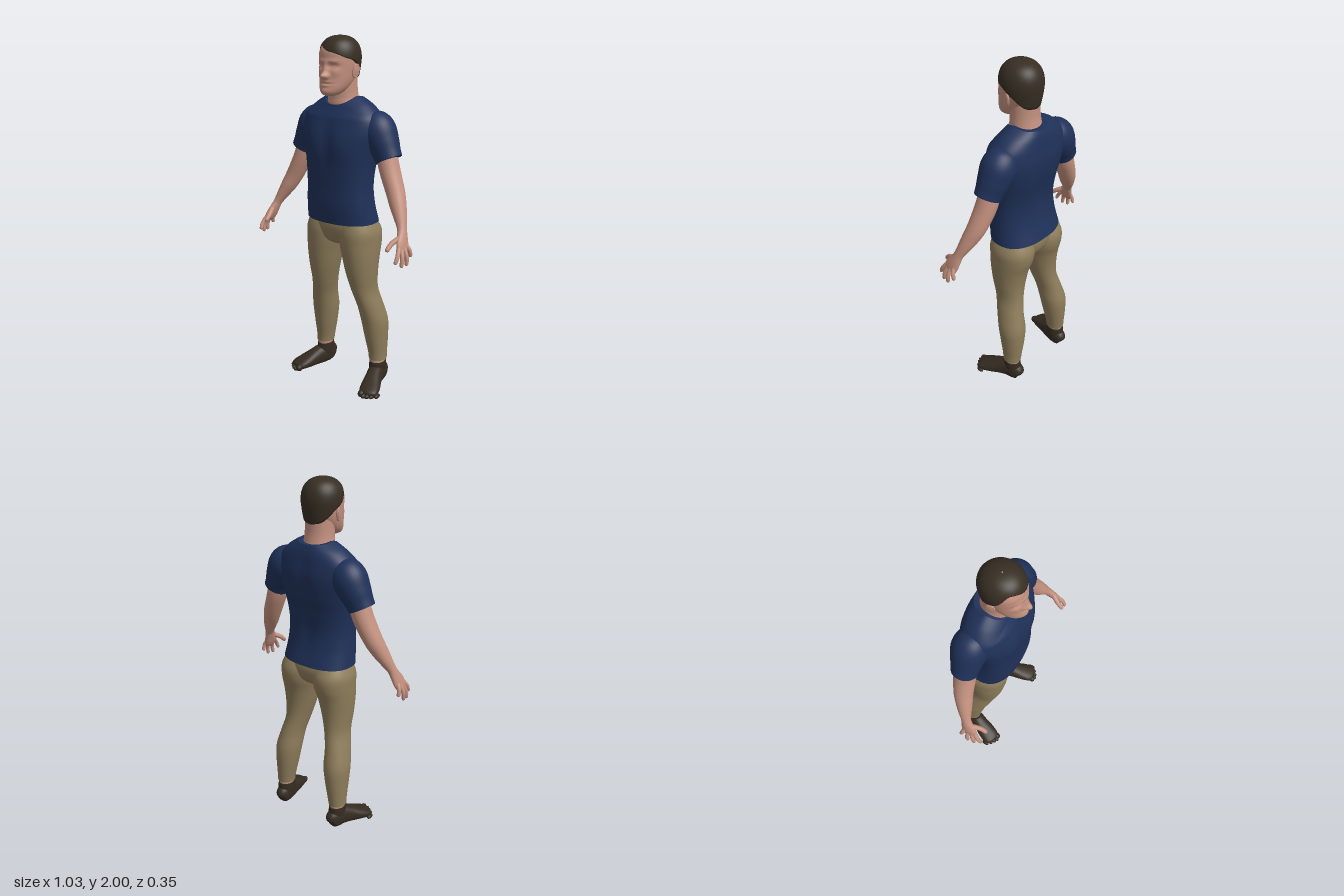
import * as THREE from 'three';

const mat = (name, color, side = THREE.FrontSide) => {
  const m = new THREE.MeshStandardMaterial({ color, side });
  m.name = name;
  return m;
};
const skin = mat('skin', 0xc4917f);
const navy = mat('navy cloth', 0x1f3159);
const khaki = mat('khaki cloth', 0x8e7d5b);
const hairBrown = mat('hair brown', 0x372e23, THREE.DoubleSide);
const sockBrown = mat('sock brown', 0x352c21);

const X = new THREE.Vector3(1, 0, 0), Y = new THREE.Vector3(0, 1, 0), Z = new THREE.Vector3(0, 0, 1);
const gauss = (d, s) => Math.exp(-(d * d) / (2 * s * s));
const clamp = THREE.MathUtils.clamp;

// Smooth interpolation through rows of numbers
function smoothRows(rows, sub) {
  const out = [];
  for (let i = 0; i < rows.length - 1; i++) {
    const [a, b, c, d] = [rows[Math.max(i - 1, 0)], rows[i], rows[i + 1], rows[Math.min(i + 2, rows.length - 1)]];
    for (let k = 0; k < sub; k++) {
      const t = k / sub;
      out.push(b.map((v, j) => v + 0.5 * t * (c[j] - a[j]
        + t * (2 * a[j] - 5 * v + 4 * c[j] - d[j] + t * (3 * (v - c[j]) + d[j] - a[j])))));
    }
  }
  out.push(rows[rows.length - 1]);
  return out;
}

// Closed loft through rings [x, y, z, radiusA, radiusB]; flat keeps the rings level
function loft(name, material, rings, { side = 1, flat = false, ref = Z, n = 2, seg = 32, sub = 5, deform } = {}) {
  const rows = smoothRows(rings, sub);
  const centres = rows.map(r => new THREE.Vector3(r[0] * side, r[1], r[2]));
  const pos = [], idx = [], last = rows.length - 1;
  const p = new THREE.Vector3();
  const bend = v => Math.sign(v) * Math.abs(v) ** (2 / n);
  rows.forEach((r, i) => {
    const t = centres[Math.min(i + 1, last)].clone().sub(centres[Math.max(i - 1, 0)]);
    if (flat) t.set(0, Math.sign(t.y), 0);
    t.normalize();
    const u = ref.clone().cross(t).normalize(), v = t.clone().cross(u);
    for (let j = 0; j < seg; j++) {
      const a = j / seg * Math.PI * 2;
      p.copy(centres[i]).addScaledVector(u, bend(Math.cos(a)) * r[3]).addScaledVector(v, bend(Math.sin(a)) * r[4]);
      if (deform) deform(p);
      pos.push(p.x, p.y, p.z);
      if (i < last) {
        const k = (j + 1) % seg, A = i * seg + j, B = i * seg + k;
        idx.push(A, B, B + seg, A, B + seg, A + seg);
      }
    }
  });
  // End caps with their own corners, so hems stay crisp
  for (const end of [0, last]) {
    const base = pos.length / 3;
    const ring = pos.slice(end * seg * 3, (end + 1) * seg * 3);
    const mid = [0, 1, 2].map(c => ring.reduce((s, v, q) => s + (q % 3 === c ? v : 0), 0) / seg);
    pos.push(...ring, ...mid);
    for (let j = 0; j < seg; j++) {
      const k = (j + 1) % seg;
      idx.push(base + seg, base + (end ? j : k), base + (end ? k : j));
    }
  }
  const g = new THREE.BufferGeometry();
  g.setAttribute('position', new THREE.Float32BufferAttribute(pos, 3));
  g.setIndex(idx);
  g.computeVertexNormals();
  const mesh = new THREE.Mesh(g, material);
  mesh.name = name;
  return mesh;
}

// Facial relief: [x, y, width, height, depth], mirrored when x is not zero
const relief = [
  [0, 1.797, 0.013, 0.012, 0.03], [0, 1.83, 0.011, 0.024, 0.016], [0.017, 1.794, 0.008, 0.008, 0.008],
  [0.04, 1.846, 0.017, 0.009, -0.013], [0.038, 1.872, 0.022, 0.008, 0.006], [0.04, 1.845, 0.009, 0.005, 0.006],
  [0, 1.767, 0.022, 0.005, 0.008], [0, 1.757, 0.024, 0.003, -0.004], [0, 1.748, 0.02, 0.005, 0.007],
  [0, 1.715, 0.025, 0.014, 0.01], [0.055, 1.815, 0.015, 0.015, 0.005],
];
function shapeFace(p) {
  if (p.z < 0.04) return;
  let dz = 0;
  for (const [x, y, w, h, d] of relief)
    for (const s of x ? [1, -1] : [1]) dz += d * gauss(p.x - s * x, w) * gauss(p.y - y, h);
  p.z += dz;
}

// Hair cap whose lower edge follows a hairline around the head
function makeHair() {
  const seg = 72, rows = 26, pos = [], idx = [];
  const line = new THREE.CatmullRomCurve3([
    [-180, 1.77], [-140, 1.785], [-105, 1.84], [-75, 1.885], [-50, 1.945], [-25, 1.945], [0, 1.925],
    [30, 1.91], [55, 1.89], [80, 1.875], [105, 1.84], [140, 1.785], [180, 1.77],
  ].map(([a, y]) => new THREE.Vector3(a, y, 0)));
  const edge = Array.from({ length: 721 }, (_, i) => line.getPoint(i / 720));
  for (let i = 0; i <= rows; i++) for (let j = 0; j < seg; j++) {
    const deg = j / seg * 360 - 180, a = deg * Math.PI / 180;
    const low = edge.reduce((b, q) => Math.abs(q.x - deg) < Math.abs(b.x - deg) ? q : b).y;
    const v = Math.min(i / (rows - 2), 1), y = low + (2 - low) * Math.cos(v * Math.PI / 2);
    let r = y > 1.88 ? (1 - ((y - 1.88) / 0.12001) ** 2.4) ** (1 / 2.4) : 1 - 2.6 * (1.88 - y) ** 1.3;
    r *= 1 - 0.1 * Math.max(0, i - rows + 2);   // tuck the edge under
    pos.push(Math.sin(a) * r * 0.111, y, 0.006 + Math.cos(a) * r * 0.119);
    if (i < rows) {
      const A = i * seg + j, B = i * seg + (j + 1) % seg;
      idx.push(A, A + seg, B + seg, A, B + seg, B);
    }
  }
  const g = new THREE.BufferGeometry();
  g.setAttribute('position', new THREE.Float32BufferAttribute(pos, 3));
  g.setIndex(idx);
  g.computeVertexNormals();
  const m = new THREE.Mesh(g, hairBrown);
  m.name = 'hair';
  return m;
}

function ball(name, material, x, y, z, sx, sy, sz) {
  const m = new THREE.Mesh(new THREE.SphereGeometry(1, 20, 14), material);
  m.name = name;
  m.position.set(x, y, z);
  m.scale.set(sx, sy, sz);
  return m;
}

export function createModel() {
  const model = new THREE.Group();
  model.name = 'standingMan';

  // Head and neck
  const head = new THREE.Group();
  head.name = 'head';
  head.add(
    loft('face', skin, [[0, 1.692, 0.088, 0.02, 0.025], [0, 1.703, 0.08, 0.048, 0.05], [0, 1.73, 0.06, 0.07, 0.076],
      [0, 1.77, 0.033, 0.086, 0.098], [0, 1.82, 0.014, 0.096, 0.113], [0, 1.87, 0.01, 0.101, 0.114],
      [0, 1.92, 0.008, 0.1, 0.111], [0, 1.96, 0.003, 0.08, 0.09], [0, 1.985, 0, 0.03, 0.035]],
    { flat: true, seg: 112, sub: 9, n: 2.15, deform: shapeFace }),
    loft('neck', skin, [[0, 1.58, -0.03, 0.09, 0.08], [0, 1.64, -0.025, 0.092, 0.086], [0, 1.68, -0.022, 0.084, 0.08],
      [0, 1.73, -0.018, 0.08, 0.077], [0, 1.81, -0.015, 0.08, 0.08]], { flat: true }),
    makeHair());

  // Shirt body with chest, spine groove and a dipped neckline
  model.add(head, loft('shirt', navy, [[0, 1, -0.02, 0.215, 0.147], [0, 1.1, 0, 0.205, 0.137], [0, 1.2, 0.006, 0.2, 0.13],
    [0, 1.3, 0.001, 0.206, 0.136], [0, 1.4, -0.01, 0.222, 0.146], [0, 1.5, -0.021, 0.243, 0.144],
    [0, 1.58, -0.027, 0.235, 0.128], [0, 1.645, -0.032, 0.175, 0.112], [0, 1.688, -0.032, 0.1, 0.098]], {
    flat: true, seg: 72, sub: 7, n: 2.35, deform: p => {
      const x = Math.abs(p.x), front = clamp(p.z * 15, 0, 1), back = clamp(-p.z * 15, 0, 1);
      p.z += front * (0.012 * gauss(x - 0.09, 0.05) * gauss(p.y - 1.45, 0.06) - 0.008 * gauss(x, 0.02) * gauss(p.y - 1.45, 0.08));
      p.z += back * 0.012 * gauss(x, 0.03) * gauss(p.y - 1.35, 0.17);
      const k = clamp((p.y - 1.58) / 0.108, 0, 1);
      p.y -= k * (0.05 * clamp((p.z + 0.03) / 0.1, 0, 1) ** 1.5 + 0.018 * clamp((-p.z - 0.03) / 0.1, 0, 1));
    },
  }));

  // Seat of the trousers
  model.add(loft('trouserSeat', khaki, [[0, 1.04, -0.02, 0.19, 0.115], [0, 0.97, -0.025, 0.21, 0.126],
    [0, 0.91, -0.025, 0.17, 0.115], [0, 0.875, -0.02, 0.08, 0.09], [0, 0.86, -0.02, 0.03, 0.05]], { flat: true, n: 2.2 }));

  for (const side of [1, -1]) {
    const word = side > 0 ? 'left' : 'right';
    const o = { side };

    // Ear
    const ear = ball(word + 'Ear', skin, side * 0.104, 1.82, 0.006, 0.01, 0.038, 0.022);
    ear.rotation.set(-0.2, side * -0.3, side * -0.12);
    const rim = new THREE.Mesh(new THREE.TorusGeometry(0.8, 0.16, 8, 24), skin);
    rim.name = word + 'EarRim';
    rim.rotation.y = Math.PI / 2;
    rim.position.x = side * 0.6;
    ear.add(rim);
    head.add(ear);

    // Sleeve and arm
    model.add(loft(word + 'Sleeve', navy, [[0.15, 1.6, -0.045, 0.02, 0.03], [0.175, 1.568, -0.045, 0.075, 0.075],
      [0.215, 1.515, -0.045, 0.098, 0.096], [0.253, 1.45, -0.042, 0.088, 0.088], [0.28, 1.4, -0.038, 0.077, 0.076],
      [0.297, 1.366, -0.036, 0.074, 0.071]], o));
    model.add(loft(word + 'Arm', skin, [[0.27, 1.42, -0.04, 0.055, 0.055], [0.292, 1.35, -0.036, 0.055, 0.06],
      [0.315, 1.29, -0.03, 0.053, 0.06], [0.358, 1.2, -0.015, 0.049, 0.054], [0.388, 1.14, 0.004, 0.044, 0.047],
      [0.415, 1.09, 0.022, 0.035, 0.039], [0.443, 1.035, 0.044, 0.024, 0.029], [0.456, 1, 0.058, 0.022, 0.035],
      [0.468, 0.965, 0.074, 0.02, 0.044], [0.478, 0.935, 0.086, 0.015, 0.042], [0.481, 0.925, 0.09, 0.007, 0.03]], o));

    // Fingers: root, middle and tip
    const fingers = {
      Thumb: [0.456, 0.995, 0.085, 0.437, 0.97, 0.128, 0.432, 0.942, 0.16],
      Index: [0.472, 0.95, 0.112, 0.484, 0.915, 0.139, 0.483, 0.882, 0.156],
      Middle: [0.477, 0.945, 0.096, 0.495, 0.9, 0.112, 0.496, 0.859, 0.12],
      Ring: [0.48, 0.945, 0.076, 0.501, 0.9, 0.08, 0.502, 0.861, 0.083],
      Little: [0.478, 0.955, 0.055, 0.495, 0.925, 0.046, 0.497, 0.895, 0.039],
    };
    for (const [finger, f] of Object.entries(fingers)) {
      const r = finger === 'Thumb' ? 0.0135 : 0.0115;
      const tip = f.slice(6).map((v, i) => v + (v - f[3 + i]) * 0.2);
      model.add(loft(word + finger, skin, [[...f.slice(0, 3), r * 1.1, r * 1.1], [...f.slice(3, 6), r, r],
        [...f.slice(6), r * 0.85, r * 0.85], [...tip, r * 0.2, r * 0.2]], { side, seg: 14, sub: 4 }));
    }

    // Trouser leg
    model.add(loft(word + 'TrouserLeg', khaki, [[0.105, 1.02, -0.02, 0.09, 0.105], [0.114, 0.95, -0.03, 0.111, 0.131],
      [0.118, 0.88, -0.03, 0.11, 0.13], [0.127, 0.8, -0.022, 0.099, 0.115], [0.135, 0.7, -0.022, 0.084, 0.1],
      [0.146, 0.6, -0.035, 0.068, 0.088], [0.169, 0.5, -0.06, 0.067, 0.085], [0.183, 0.4, -0.085, 0.073, 0.084],
      [0.19, 0.3, -0.094, 0.065, 0.074], [0.197, 0.2, -0.099, 0.053, 0.06], [0.2, 0.155, -0.099, 0.05, 0.056]],
    { side, flat: true, seg: 40, n: 2.1 }));

    // Ankle, sock cuff and foot
    model.add(loft(word + 'Ankle', skin, [[0.2, 0.1, -0.098, 0.04, 0.05], [0.2, 0.18, -0.098, 0.041, 0.05]], { side, flat: true }));
    model.add(loft(word + 'SockCuff', sockBrown, [[0.2, 0.04, -0.098, 0.04, 0.055], [0.2, 0.09, -0.099, 0.046, 0.06],
      [0.2, 0.138, -0.099, 0.045, 0.057]], { side, flat: true }));
    model.add(loft(word + 'Foot', sockBrown, [[0.195, 0.045, -0.168, 0.01, 0.012], [0.196, 0.052, -0.157, 0.034, 0.046],
      [0.2, 0.06, -0.12, 0.044, 0.06], [0.208, 0.06, -0.07, 0.046, 0.06], [0.226, 0.05, -0.02, 0.049, 0.05],
      [0.246, 0.038, 0.03, 0.056, 0.038], [0.264, 0.028, 0.075, 0.056, 0.028], [0.272, 0.023, 0.1, 0.045, 0.02],
      [0.275, 0.022, 0.11, 0.02, 0.012]], { side, ref: Y, n: 2.3 }));
    for (let i = 0; i < 5; i++) {
      const r = i ? 0.0135 - i * 0.0005 : 0.019;
      model.add(ball(word + 'Toe' + (i + 1), sockBrown, side * (0.238 + i * 0.02), r * 1.1, 0.11 - 0.003 * i * i + (i ? 0.006 : 0), r, r * 1.1, 0.024));
    }
  }
  return model;
}
